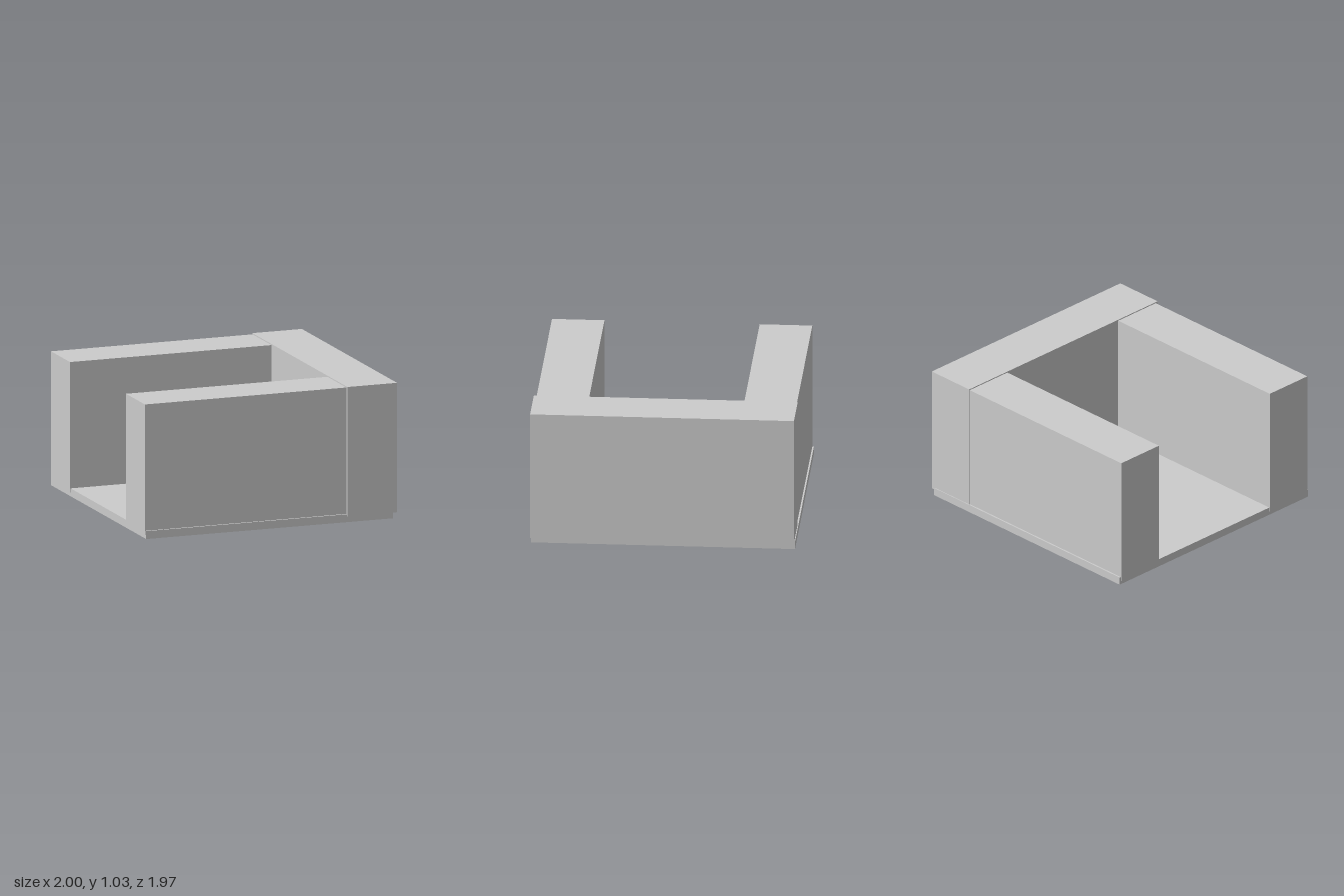
import * as THREE from 'three';

export function createModel() {
  const model = new THREE.Group();
  const material = new THREE.MeshStandardMaterial({ color: 0xcccccc, flatShading: true });

  // Box given by its [min, max] extent on each axis
  function addBlock(name, [x0, x1], [y0, y1], [z0, z1]) {
    const mesh = new THREE.Mesh(new THREE.BoxGeometry(x1 - x0, y1 - y0, z1 - z0), material);
    mesh.position.set((x0 + x1) / 2, (y0 + y1) / 2, (z0 + z1) / 2);
    mesh.name = name;
    model.add(mesh);
  }

  // Thin floor slab under all the walls
  addBlock('floorSlab', [-0.995, 0.97], [0, 0.06], [-0.988, 0.977]);

  // Two parallel walls, sunk slightly into the slab
  addBlock('frontWall', [-1, 0.605], [0.03, 1.022], [0.572, 0.963]);
  addBlock('backWall', [-1, 0.605], [0.03, 1.022], [-0.976, -0.584]);

  // Cross wall closing the left end, overhanging the slab
  addBlock('endWall', [0.605, 1], [0.045, 1.03], [-0.982, 0.983]);

  return model;
}
